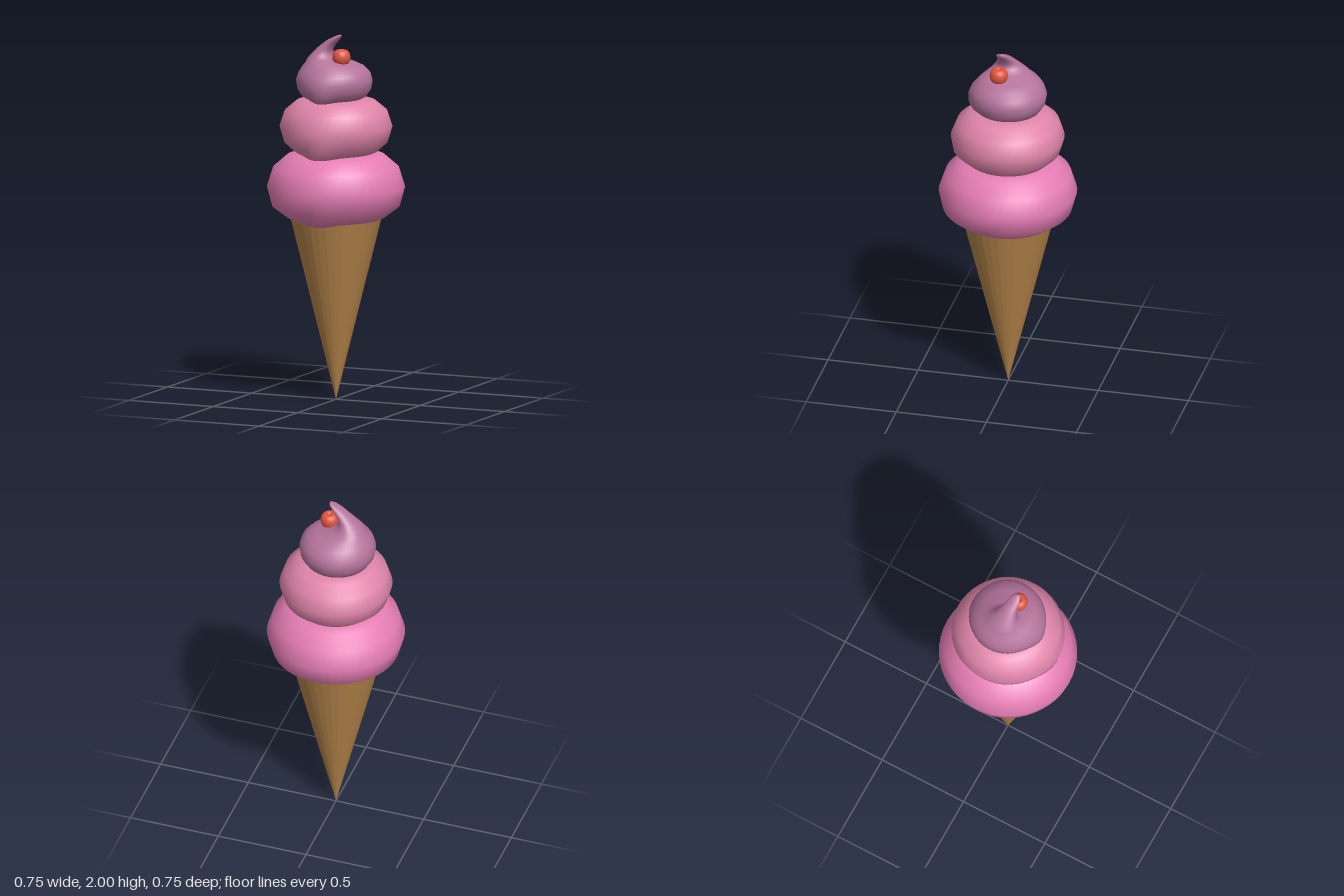
import * as THREE from 'three';

const material = (color, extra = {}) => new THREE.MeshStandardMaterial({ color, ...extra });

// Closed loft through horizontal ellipses [y, rx, rz, cx, cz], listed upward.
// The lower edge sags by "droop" in a soft lobe at the front, where each coil begins.
function loft(name, sections, color, droop = 0, segments = 48) {
  const pos = [], index = [];
  const y0 = sections[0][0], y1 = sections[sections.length - 1][0];
  for (const [y, rx, rz = rx, cx = 0, cz = 0] of sections) {
    const low = Math.max(0, 1 - 1.6 * (y - y0) / (y1 - y0));
    for (let j = 0; j < segments; j++) {
      const a = j / segments * Math.PI * 2;
      const d = a > Math.PI ? a - Math.PI * 2 : a;
      const lobe = droop * low * Math.exp(-((d / 0.4) ** 2));
      pos.push(cx + Math.sin(a) * (rx + lobe), y - lobe * 0.8, cz + Math.cos(a) * (rz + lobe));
    }
  }
  for (let i = 0; i < sections.length - 1; i++) {
    for (let j = 0; j < segments; j++) {
      const k = (j + 1) % segments;
      const a = i * segments + j, b = i * segments + k;
      index.push(a, b, b + segments, a, b + segments, a + segments);
    }
  }
  const geo = new THREE.BufferGeometry();
  geo.setAttribute('position', new THREE.Float32BufferAttribute(pos, 3));
  geo.setIndex(index);
  geo.computeVertexNormals();
  const mesh = new THREE.Mesh(geo, material(color));
  mesh.name = name;
  return mesh;
}

export function createModel() {
  const group = new THREE.Group();
  group.name = 'iceCreamCone';

  // Faceted wafer cone standing on its point
  const cone = new THREE.Mesh(
    new THREE.ConeGeometry(0.25, 1.01, 32),
    material(0xb5854a, { flatShading: true }));
  cone.rotation.x = Math.PI;
  cone.position.y = 0.505;
  cone.name = 'waferCone';
  group.add(cone);

  // Two wide coils of soft ice cream
  group.add(loft('lowerCoil', [
    [0.985, 0.001], [0.985, 0.23], [1.0, 0.265], [1.06, 0.345], [1.165, 0.373],
    [1.27, 0.34], [1.335, 0.265], [1.352, 0.2], [1.355, 0.001],
  ], 0xe57db4, 0.015));
  group.add(loft('middleCoil', [
    [1.345, 0.001], [1.345, 0.19], [1.36, 0.225], [1.41, 0.28], [1.495, 0.305],
    [1.58, 0.277], [1.632, 0.215], [1.645, 0.16], [1.65, 0.001],
  ], 0xe085aa, 0.03));

  // Top coil drawn out into a curl that leans over to the left
  group.add(loft('topCurl', [
    [1.645, 0.001], [1.645, 0.145, 0.145, -0.01], [1.66, 0.175, 0.175, -0.01],
    [1.7, 0.2, 0.2, -0.01], [1.745, 0.207, 0.207, -0.01], [1.785, 0.196, 0.194, -0.01],
    [1.82, 0.17, 0.165, -0.015], [1.842, 0.135, 0.135, -0.03, 0.005],
    [1.862, 0.088, 0.1, -0.068, 0.01], [1.885, 0.06, 0.076, -0.075, 0.015],
    [1.915, 0.046, 0.055, -0.058, 0.02], [1.945, 0.038, 0.042, -0.03, 0.024],
    [1.97, 0.032, 0.034, 0.0, 0.03], [1.988, 0.021, 0.026, 0.025, 0.034],
    [1.998, 0.01, 0.014, 0.039, 0.036], [2.0, 0.001, 0.001, 0.044, 0.036],
  ], 0xb5749c, 0.025));

  // Small cherry with a dimple on top
  const profile = [[0, -0.046], [0.02, -0.043], [0.037, -0.031], [0.047, -0.012], [0.049, 0.008],
    [0.044, 0.027], [0.032, 0.041], [0.018, 0.044], [0.007, 0.037], [0, 0.032]];
  const cherry = new THREE.Mesh(
    new THREE.LatheGeometry(new THREE.SplineCurve(
      profile.map(([x, y]) => new THREE.Vector2(x, y))).getPoints(24)
      .map(p => new THREE.Vector2(Math.max(0, p.x), p.y)), 28),
    material(0xe0553f));
  cherry.position.set(0.05, 1.875, 0.04);
  cherry.name = 'cherry';
  group.add(cherry);

  return group;
}
